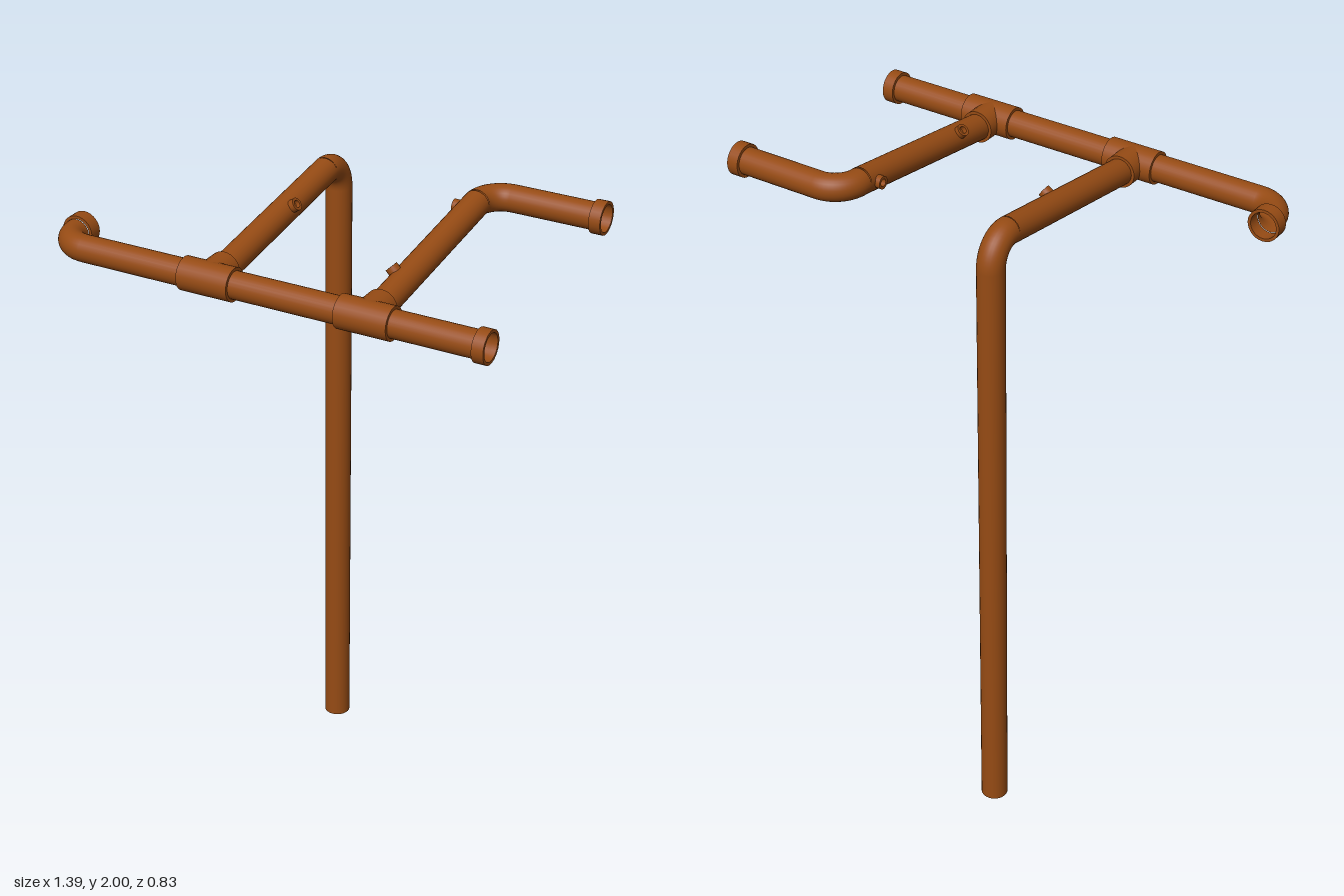
import * as THREE from 'three';

const R = 0.04, SLEEVE = 0.049, BEND = 0.08, SIDES = 28;
const MAIN_Y = 1.87, TOP_Y = 1.952, FRONT_Z = 0.365, BACK_Z = -0.365;
const V = (x, y, z) => new THREE.Vector3(x, y, z);

export function createModel() {
  const model = new THREE.Group();
  const copper = new THREE.MeshStandardMaterial({ color: 0x964b14, side: THREE.DoubleSide });

  const add = (name, geometry, parent = model) => {
    const mesh = new THREE.Mesh(geometry, copper);
    mesh.name = name;
    parent.add(mesh);
    return mesh;
  };

  // Straight open pipe between two points
  const pipe = (name, a, b) => add(name, new THREE.TubeGeometry(new THREE.LineCurve3(a, b), 1, R, SIDES));

  // Rounded elbow from a to b around the corner point
  const elbow = (name, a, corner, b) => {
    const k = 0.5523;
    const curve = new THREE.CubicBezierCurve3(a, a.clone().lerp(corner, k), b.clone().lerp(corner, k), b);
    return add(name, new THREE.TubeGeometry(curve, 14, R, SIDES));
  };

  // Hollow ring of given radii, starting at a point and running along a direction
  const ring = (name, start, dir, length, inner, outer, parent) => {
    const profile = [[inner, 0], [outer, 0], [outer, 0], [outer, length], [outer, length],
      [inner, length], [inner, length], [inner, 0]];
    // Each wall is its own lathe so its edges stay sharp
    const group = new THREE.Group();
    group.name = name;
    for (let i = 0; i < profile.length; i += 2) {
      const wall = profile.slice(i, i + 2).map(([r, y]) => new THREE.Vector2(r, y));
      add(name + 'Wall', new THREE.LatheGeometry(wall, SIDES), group);
    }
    group.position.copy(start);
    group.quaternion.setFromUnitVectors(V(0, 1, 0), dir.clone().normalize());
    (parent || model).add(group);
    return group;
  };

  // Front crossbar with a backward elbow at its right end
  pipe('crossbar', V(-0.65 + BEND, MAIN_Y, FRONT_Z), V(0.68, MAIN_Y, FRONT_Z));
  elbow('crossbarElbow', V(-0.65 + BEND, MAIN_Y, FRONT_Z), V(-0.65, MAIN_Y, FRONT_Z),
    V(-0.65, MAIN_Y, FRONT_Z - BEND));
  ring('elbowSocket', V(-0.65, MAIN_Y, 0.283), V(0, 0, -1), 0.04, R, SLEEVE);
  ring('crossbarSocket', V(0.66, MAIN_Y, FRONT_Z), V(1, 0, 0), 0.035, R, SLEEVE);

  // Tee fitting: sleeve on the crossbar and a branch collar trimmed to it
  const tee = (x) => {
    const group = new THREE.Group();
    group.name = 'teeFitting';
    ring('teeSleeve', V(-0.08, 0, 0), V(1, 0, 0), 0.16, R, SLEEVE, group);
    const collar = new THREE.CylinderGeometry(SLEEVE, SLEEVE, 0.08, SIDES, 1, true);
    collar.rotateX(-Math.PI / 2).translate(0, 0, -0.04);
    const p = collar.attributes.position;
    for (let i = 0; i < p.count; i++) {
      if (p.getZ(i) > -0.04) p.setZ(i, -Math.sqrt(Math.max(0, SLEEVE ** 2 - p.getY(i) ** 2)));
    }
    add('teeCollar', collar, group);
    const rim = add('teeRim', new THREE.RingGeometry(R * 0.95, SLEEVE, SIDES), group);
    rim.position.z = -0.08;
    rim.rotation.y = Math.PI;
    group.position.set(x, MAIN_Y, FRONT_Z);
    model.add(group);
  };

  // Sloping arms running from the tees to the back
  const armFront = 0.305, armBack = BACK_Z + BEND, armLow = 1.867;
  const armY = (z) => armLow + (TOP_Y - armLow) * (armFront - z) / (armFront - armBack);
  const arms = [-0.16, 0.33];
  for (const x of arms) {
    tee(x);
    pipe('slopingArm', V(x, armLow, armFront), V(x, TOP_Y, armBack));
  }

  // Upright post with its top bend and closed foot
  const [postX, outletX] = arms;
  elbow('postBend', V(postX, TOP_Y, armBack), V(postX, TOP_Y + 0.008, BACK_Z), V(postX, TOP_Y - BEND, BACK_Z));
  pipe('post', V(postX, 0, BACK_Z), V(postX, TOP_Y - BEND, BACK_Z));
  const foot = add('postFoot', new THREE.CircleGeometry(R, SIDES));
  foot.rotation.x = Math.PI / 2;
  foot.position.set(postX, 0, BACK_Z);

  // Back outlet turning toward the left
  elbow('outletBend', V(outletX, TOP_Y, armBack), V(outletX, TOP_Y, BACK_Z), V(outletX + BEND, TOP_Y, BACK_Z));
  pipe('outletPipe', V(outletX + BEND, TOP_Y, BACK_Z), V(0.68, TOP_Y, BACK_Z));
  ring('outletSocket', V(0.66, TOP_Y, BACK_Z), V(1, 0, 0), 0.035, R, SLEEVE);

  // Small open spouts on the arms
  const spout = (x, z, dx, dy) => {
    const dir = V(dx, dy, 0).normalize();
    const start = V(x, armY(z), z).addScaledVector(dir, 0.032);
    ring('spout', start, dir, 0.022, 0.011, 0.019);
  };
  spout(postX, -0.04, 0.82, 0.57);
  spout(outletX, 0.16, -0.7, 0.72);
  spout(outletX, -0.25, -1, 0);

  return model;
}
